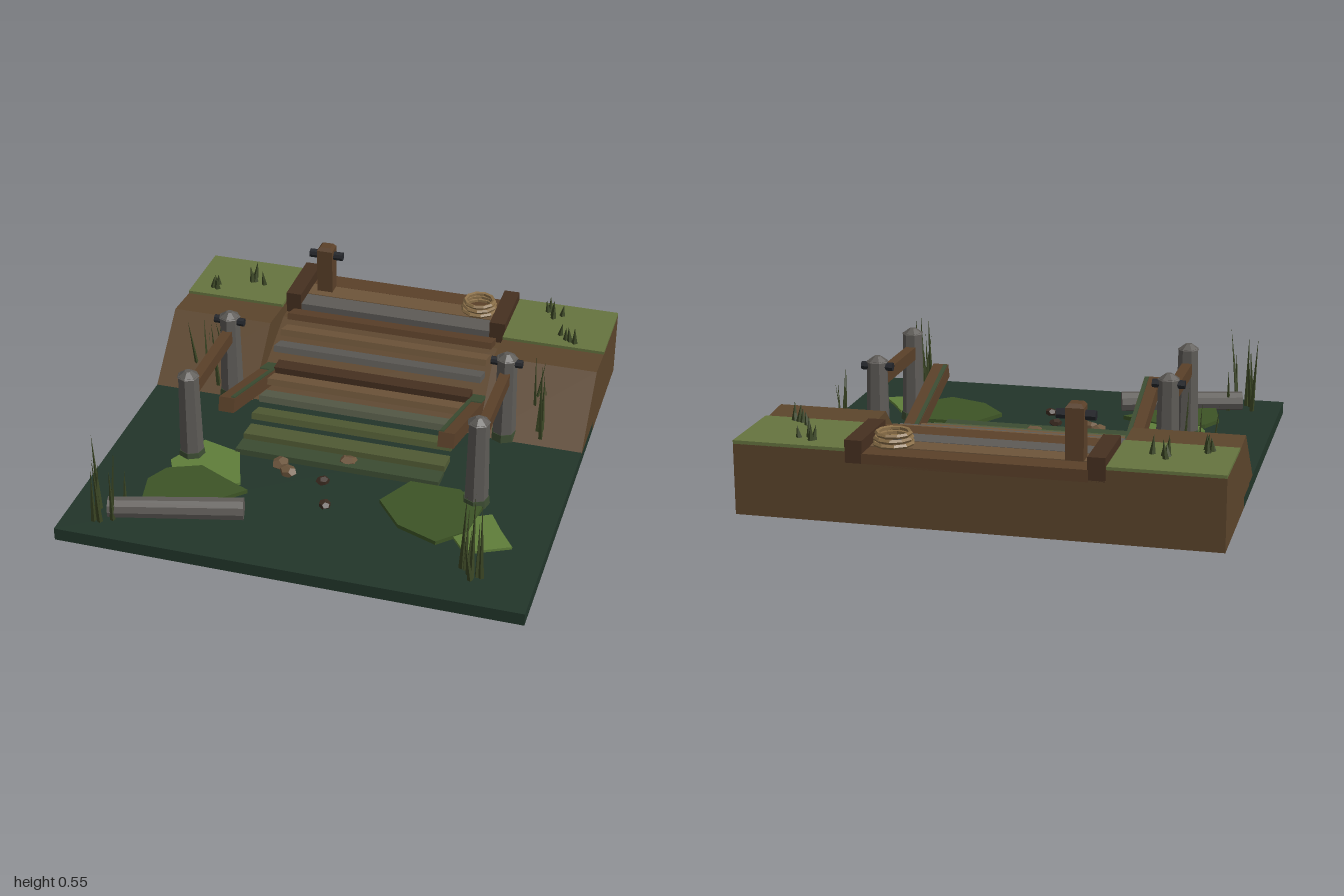
import * as THREE from 'three';

const C = {
  earth: 0x5c452c, grass: 0x66743f, water: 0x22352a, wood: 0x5a4029, darkWood: 0x463020, lightWood: 0x6e553a,
  grey: 0x5d5a56, mossGrey: 0x565a48, moss: 0x505a34, darkMoss: 0x3c4c32, leaf: 0x5f7e3a, darkLeaf: 0x3d5426,
  reed: 0x3a4524, iron: 0x23252a, stone: 0x6b543c, darkStone: 0x3a2a20, rope: 0x8a6f48,
};
const mats = {};
const mat = (c) => (mats[c] ??= new THREE.MeshStandardMaterial({ color: c, flatShading: true, side: THREE.DoubleSide }));

let seed = 7;
const rand = (a, b) => {
  seed = (seed * 16807) % 2147483647;
  return a + (b - a) * (seed / 2147483647);
};

export function createModel() {
  const model = new THREE.Group();

  const add = (name, geo, color, x = 0, y = 0, z = 0, parent = model) => {
    const m = new THREE.Mesh(geo, mat(color));
    m.name = name;
    m.position.set(x, y, z);
    parent.add(m);
    return m;
  };
  const box = (name, w, h, d, color, x, y, z) => add(name, new THREE.BoxGeometry(w, h, d), color, x, y, z);

  // Side profile given as [z, y] points, extruded along x
  const bank = (name, pts, x0, x1, color) => {
    const shape = new THREE.Shape(pts.map(([z, y]) => new THREE.Vector2(-z, y)));
    const geo = new THREE.ExtrudeGeometry(shape, { depth: x1 - x0, bevelEnabled: false });
    geo.rotateY(Math.PI / 2);
    return add(name, geo, color, x0, 0, 0);
  };

  // Flat ground and earth banks
  box('swampGround', 2, 0.056, 1.45, C.water, 0, 0.05, 0.275);
  const side = [[-1, 0.022], [-0.45, 0.022], [-0.45, 0.07], [-0.17, 0.07], [-0.45, 0.335], [-0.63, 0.322], [-1, 0.322]];
  bank('leftBank', side, 0.53, 1, C.earth);
  bank('rightBank', side, -1, -0.53, C.earth);
  bank('middleBank', [[-1, 0.022], [-0.45, 0.022], [-0.45, 0.07], [-0.17, 0.07], [-0.64, 0.265], [-1, 0.275]], -0.53, 0.53, C.earth);
  for (const s of [-1, 1]) box('grassTop', 0.47, 0.015, 0.37, C.grass, s * 0.765, 0.328, -0.815);

  // Top landing
  box('landingBackBeam', 0.92, 0.05, 0.1, C.wood, 0, 0.292, -0.95);
  box('landingPlank', 0.92, 0.035, 0.1, C.lightWood, 0, 0.302, -0.845);
  box('landingPlank', 0.92, 0.035, 0.1, C.grey, 0, 0.302, -0.74);
  for (const s of [-1, 1]) box('landingCurb', 0.072, 0.1, 0.315, C.darkWood, s * 0.492, 0.32, -0.8425);

  // Sloping run of tilted treads, with one replaced by a bare beam
  const treads = [
    [-0.63, C.wood], [-0.525, C.lightWood], [-0.42, C.grey], [-0.22, C.lightWood], [-0.115, C.mossGrey],
    [-0.01, C.moss], [0.1, C.moss], [0.21, C.darkMoss],
  ];
  treads.forEach(([z, color]) => {
    const tread = box('tread', z < -0.3 ? 0.98 : 0.92, 0.03, 0.1, color, 0, 0.125 - 0.27 * (z + 0.01), z);
    if (z > 0.15) tread.position.y = 0.085;
    tread.rotation.x = z > 0.05 ? -0.1 : -0.28;
  });
  box('crossBeam', 0.92, 0.04, 0.07, C.darkWood, 0, 0.185, -0.32);

  // Tilted side rails of the run
  for (const s of [-1, 1]) {
    const rail = box('slopingRail', 0.07, 0.065, 0.68, C.wood, s * 0.49, 0.23, -0.055);
    rail.rotation.x = -0.31;
    add('railMoss', new THREE.BoxGeometry(0.018, 0.012, 0.66), C.darkMoss, -s * 0.024, 0.032, 0, rail);
    add('railMossEnd', new THREE.BoxGeometry(0.066, 0.012, 0.12), C.darkMoss, 0, 0.032, -0.27, rail);
  }

  // Mooring posts, mud collars and handrails
  for (const s of [-1, 1]) {
    for (const z of [0.32, -0.21]) {
      const post = new THREE.Group();
      post.name = 'post';
      post.position.set(s * 0.64, 0, z);
      model.add(post);
      add('postShaft', new THREE.CylinderGeometry(0.045, 0.054, 0.42, 7), C.grey, 0, 0.28, 0, post);
      add('postCap', new THREE.CylinderGeometry(0.015, 0.05, 0.025, 7), C.grey, 0, 0.498, 0, post);
      add('postMoss', new THREE.CylinderGeometry(0.056, 0.06, 0.04, 7), C.darkMoss, 0, 0.095, 0, post);
      add('mudCollar', new THREE.DodecahedronGeometry(0.075).scale(1, 0.6, 1), C.darkStone, 0, 0.047, 0, post);
      if (z < 0) {
        const pin = add('postPin', new THREE.CylinderGeometry(0.019, 0.019, 0.14, 8), C.iron, 0, 0.465, 0, post);
        pin.rotation.z = Math.PI / 2;
      }
    }
    box('handrail', 0.045, 0.058, 0.5, C.wood, s * 0.64, 0.4, 0.055);
  }

  // Short bollard with iron pin
  box('bollard', 0.075, 0.215, 0.07, C.wood, -0.385, 0.427, -0.87);
  add('bollardCap', new THREE.CylinderGeometry(0.035, 0.053, 0.016, 4).rotateY(Math.PI / 4), C.wood, -0.385, 0.542, -0.87);
  add('bollardPin', new THREE.CylinderGeometry(0.021, 0.021, 0.16, 8).rotateZ(Math.PI / 2), C.iron, -0.385, 0.5, -0.87);

  // Coiled rope
  [0.078, 0.074, 0.068].forEach((r, i) => {
    const ring = add('ropeCoil', new THREE.TorusGeometry(r, 0.01, 5, 10).rotateX(Math.PI / 2), C.rope, 0.365, 0.333 + i * 0.02, -0.865);
    ring.rotation.y = i * 0.4;
  });

  // Fallen log
  const log = add('fallenLog', new THREE.CylinderGeometry(0.046, 0.05, 0.57, 10).rotateZ(Math.PI / 2), C.grey, -0.545, 0.115, 0.765);
  log.rotation.y = 0.26;

  // Low moss patches, outlines as [x, z]
  const patch = (color, y, pts) => {
    const shape = new THREE.Shape(pts.map(([x, z]) => new THREE.Vector2(x, -z)));
    const geo = new THREE.ExtrudeGeometry(shape, { depth: 0.02, bevelEnabled: false });
    add('mossPatch', geo.rotateX(-Math.PI / 2), color, 0, y, 0);
  };
  patch(C.leaf, 0.07, [[-0.62, 0.21], [-0.44, 0.26], [-0.36, 0.48], [-0.5, 0.58], [-0.66, 0.5], [-0.71, 0.4]]);
  patch(C.darkLeaf, 0.076, [[-0.7, 0.47], [-0.56, 0.41], [-0.42, 0.48], [-0.31, 0.53], [-0.46, 0.68], [-0.71, 0.76], [-0.75, 0.57]]);
  patch(C.darkLeaf, 0.076, [[0.34, 0.27], [0.56, 0.27], [0.68, 0.37], [0.66, 0.55], [0.55, 0.66], [0.37, 0.59], [0.25, 0.44]]);
  patch(C.leaf, 0.07, [[0.6, 0.47], [0.73, 0.4], [0.79, 0.5], [0.86, 0.6], [0.68, 0.69], [0.58, 0.56]]);

  // Scattered stones
  [[0.04, 0.2, 0.048, C.stone], [-0.24, 0.29, 0.045, C.stone], [-0.19, 0.34, 0.042, C.stone],
    [-0.025, 0.365, 0.032, C.darkStone], [0.035, 0.53, 0.032, C.darkStone]].forEach(([x, z, r, color], i) => {
    const stone = add('stone', new THREE.DodecahedronGeometry(r), color, x, 0.09, z);
    stone.scale.set(1, 0.6, 0.85);
    stone.rotation.y = i * 1.3;
  });

  // Reeds: thin, leaning tapered blades
  for (const [cx, cz, n] of [[-0.83, 0.83, 7], [0.76, 0.8, 7], [-0.77, -0.28, 7], [0.75, -0.29, 8]]) {
    for (let i = 0; i < n; i++) {
      const h = rand(0.2, 0.4);
      const reed = add('reed', new THREE.ConeGeometry(0.012, h, 4).translate(0, h / 2, 0), C.reed,
        cx + rand(-0.08, 0.08), 0.075, cz + rand(-0.08, 0.08));
      reed.rotation.set(rand(-0.15, 0.15), rand(0, 3), rand(-0.15, 0.15));
    }
  }

  // Grass tufts on the banks
  for (const [cx, cz] of [[-0.88, -0.71], [-0.7, -0.82], [0.72, -0.9], [0.82, -0.69]]) {
    for (let i = 0; i < 5; i++) {
      const h = rand(0.05, 0.09);
      const blade = add('grassTuft', new THREE.ConeGeometry(0.014, h, 4).translate(0, h / 2, 0), C.reed,
        cx + rand(-0.04, 0.04), 0.333, cz + rand(-0.035, 0.035));
      blade.rotation.set(rand(-0.15, 0.15), 0, rand(-0.15, 0.15));
    }
  }

  return model;
}
